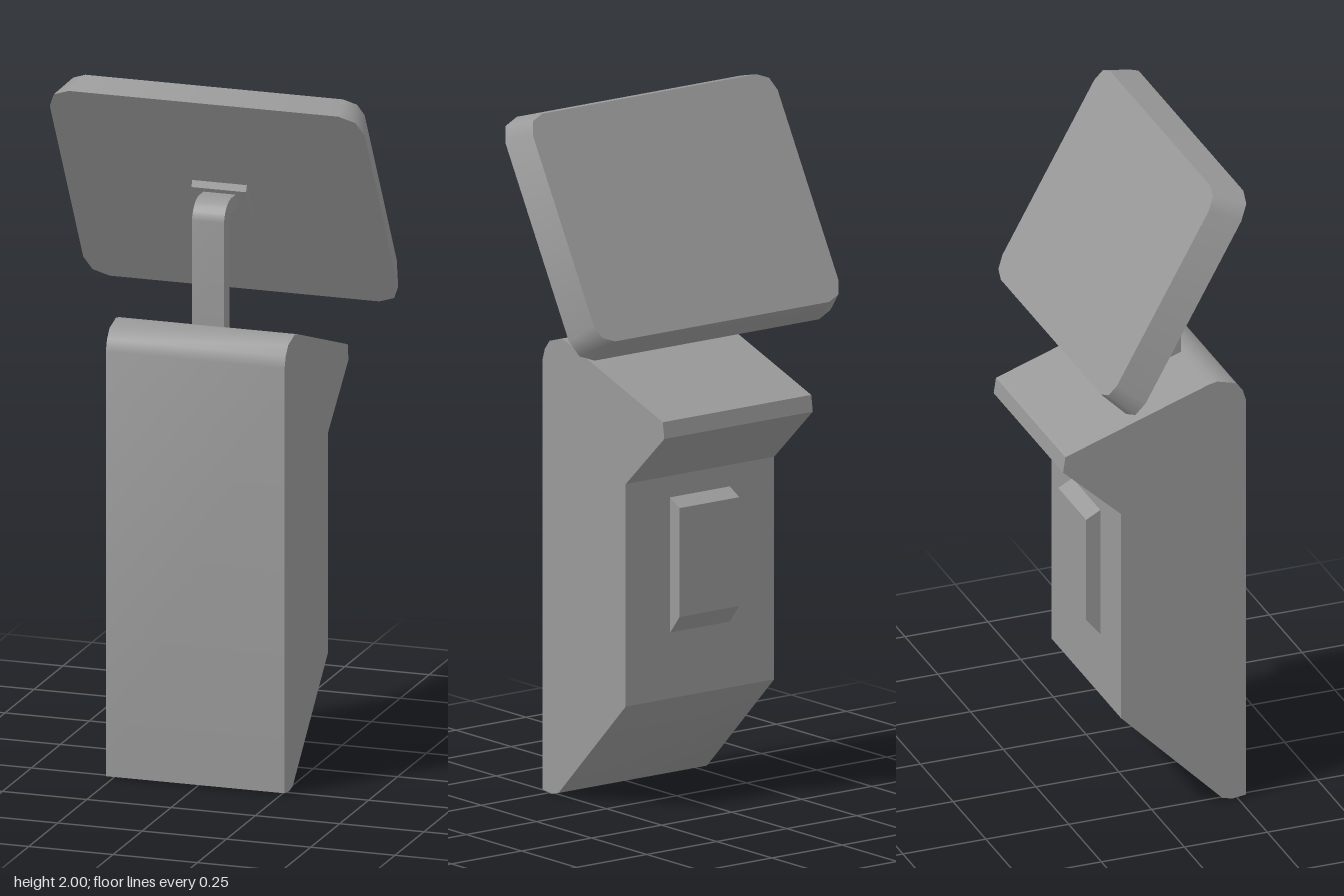
import * as THREE from 'three';
import { toCreasedNormals } from 'three/addons/utils/BufferGeometryUtils.js';
import { ConvexGeometry } from 'three/addons/geometries/ConvexGeometry.js';

const CENTER_X = -0.005;

// Extrude a side profile, given as a shape in (z, y), across the width
function sideExtrude(shape, width, crease = 0.7) {
  const geo = new THREE.ExtrudeGeometry(shape, { depth: width, bevelEnabled: false, curveSegments: 6 });
  geo.translate(0, 0, -width / 2);
  geo.rotateY(-Math.PI / 2);
  geo.translate(CENTER_X, 0, 0);
  return toCreasedNormals(geo, crease);
}

const polygon = (points) => new THREE.Shape(points.map(([z, y]) => new THREE.Vector2(z, y)));

// Outline of a rectangle with two-step rounded corners at depth z
function roundedLoop(halfW, halfH, radius, z) {
  const points = [];
  for (let corner = 0; corner < 4; corner++) {
    const sx = corner === 0 || corner === 3 ? 1 : -1;
    const sy = corner < 2 ? 1 : -1;
    for (let i = 0; i <= 2; i++) {
      const a = (corner + i / 2) * Math.PI / 2;
      points.push(new THREE.Vector3(
        sx * (halfW - radius) + radius * Math.cos(a),
        sy * (halfH - radius) + radius * Math.sin(a), z));
    }
  }
  return points;
}

export function createModel() {
  const group = new THREE.Group();
  const grey = new THREE.MeshStandardMaterial({ color: 0x999999 });
  grey.name = 'grey';

  const add = (name, geometry) => {
    const mesh = new THREE.Mesh(geometry, grey);
    mesh.name = name;
    group.add(mesh);
    return mesh;
  };

  // Cabinet with rounded front top, overhanging rear lip and sloped foot
  add('cabinet', sideExtrude(polygon([
    [0.277, 0.005], [0.277, 1.245], [0.267, 1.278], [0.245, 1.305], [0.19, 1.32], [0.165, 1.315],
    [-0.268, 1.167], [-0.275, 1.12], [-0.1, 0.957], [-0.1, 0.315], [0.205, 0.008], [0.235, 0],
  ]), 0.53));

  // Raised panel on the back, with sloped top and bottom
  add('rearPanel', sideExtrude(polygon([
    [-0.09, 0.505], [-0.1, 0.505], [-0.143, 0.558], [-0.143, 0.872], [-0.1, 0.895], [-0.09, 0.895],
  ]), 0.213, 0.3));

  // Flat bar rising from the cabinet and bending back to the screen
  const bar = new THREE.Shape();
  bar.moveTo(0.167, 1.28);
  bar.lineTo(0.167, 1.61);
  bar.absarc(0.102, 1.61, 0.065, 0, Math.PI / 2, false);
  bar.lineTo(0.02, 1.675);
  bar.lineTo(0.02, 1.632);
  bar.lineTo(0.102, 1.632);
  bar.absarc(0.102, 1.615, 0.017, Math.PI / 2, 0, true);
  bar.lineTo(0.119, 1.28);
  add('supportBar', sideExtrude(bar, 0.095));

  // Bracket between bar and screen
  add('bracket', sideExtrude(polygon([
    [0.06, 1.708], [0.067, 1.705], [0.074, 1.687], [0.024, 1.597], [0.008, 1.603], [0.0, 1.607],
  ]), 0.162, 0.3));

  // Tilted screen slab, tapering toward its display side
  const slab = new ConvexGeometry([
    ...roundedLoop(0.467, 0.364, 0.067, 0),
    ...roundedLoop(0.437, 0.34, 0.055, -0.092),
  ]);
  const screen = add('screen', toCreasedNormals(slab, 0.9));
  screen.position.set(-0.001, 1.659, 0.04);
  screen.rotation.x = 0.507;

  return group;
}
